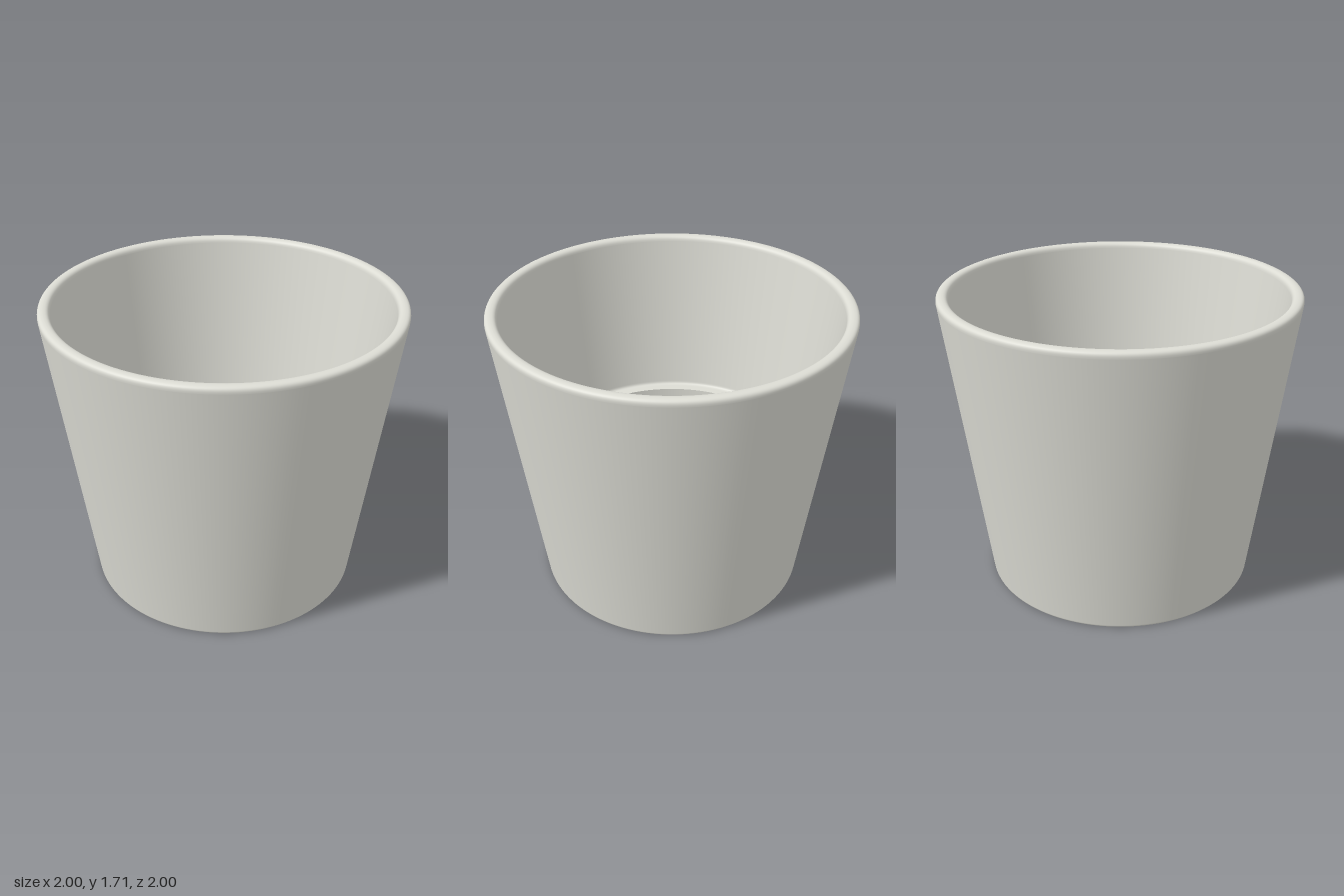
import * as THREE from 'three';

const SEGMENTS = 128;

// Turns corners [radius, height, fillet] into a profile with rounded corners
function roundedProfile(corners) {
  const pts = corners.map(([x, y]) => new THREE.Vector2(x, y));
  const out = [];
  corners.forEach(([, , fillet], i) => {
    const p = pts[i];
    if (!fillet) { out.push(p); return; }
    const toPrev = pts[i - 1].clone().sub(p).normalize();
    const toNext = pts[i + 1].clone().sub(p).normalize();
    const a = p.clone().addScaledVector(toPrev, fillet);
    const b = p.clone().addScaledVector(toNext, fillet);
    // support points keep the long walls evenly shaded
    out.push(a.clone().addScaledVector(toPrev, 0.002));
    out.push(...new THREE.QuadraticBezierCurve(a, p, b).getPoints(8));
    out.push(b.clone().addScaledVector(toNext, 0.002));
  });
  return out;
}

export function createModel() {
  const glaze = new THREE.MeshStandardMaterial({ color: 0xdcdcd4 });
  glaze.name = 'pale grey glaze';
  const clay = new THREE.MeshStandardMaterial({ color: 0xb8937f });
  clay.name = 'bare brown clay';

  const pot = new THREE.Group();
  pot.name = 'flowerPot';
  const turn = (name, material, corners) => {
    const mesh = new THREE.Mesh(new THREE.LatheGeometry(roundedProfile(corners), SEGMENTS), material);
    mesh.name = name;
    pot.add(mesh);
  };

  // Unglazed underside: recessed disc, sloping ring and standing foot
  turn('recessedBase', clay, [[0, 0.06], [0.615, 0.06]]);
  turn('footRing', clay, [[0.615, 0.06], [0.69, 0, 0.02], [0.766, 0]]);

  // Tapered outer wall, rolled rim and inner wall down to the ledge
  turn('wallAndRim', glaze, [
    [0.766, 0], [0.781, 0, 0.014], [1.004, 1.71, 0.034], [0.936, 1.71, 0.03],
    [0.81, 0.72, 0.02], [0.742, 0.72],
  ]);

  // Lower well below the ledge, with a filleted floor
  turn('innerWell', glaze, [[0.742, 0.72], [0.738, 0.12, 0.05], [0, 0.12]]);

  return pot;
}
